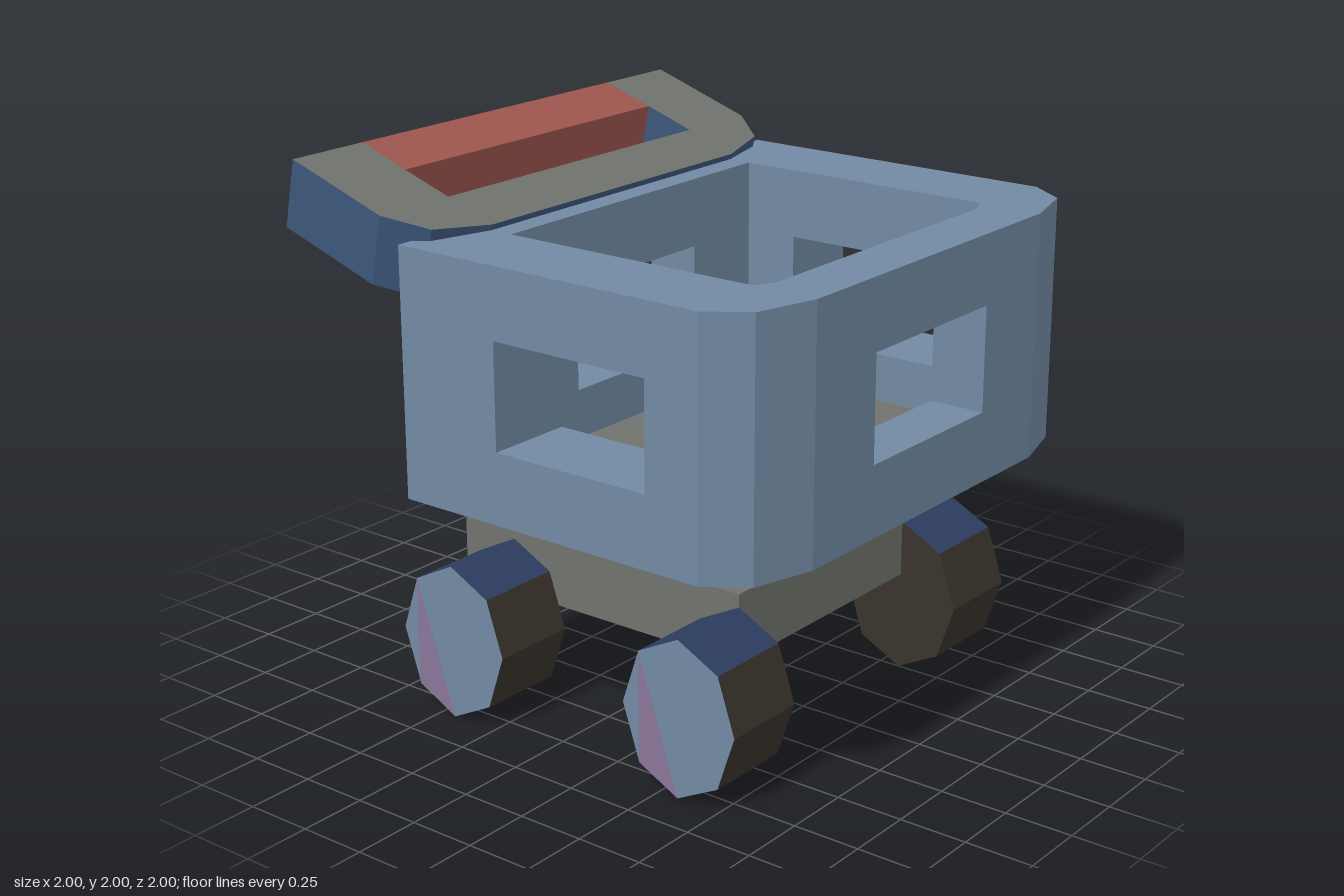
import * as THREE from 'three';

const paint = (color, side = THREE.FrontSide) =>
  new THREE.MeshStandardMaterial({ color, flatShading: true, side });

const BLUE = paint(0x718aa3);
const NAVY = paint(0x3c567a);
const GREY = paint(0x70726d);
const RED = paint(0x9e574e);
const TYRE = paint(0x3a332c);
const TYRE_TOP = paint(0x2c3d60);
const PINK = paint(0x8a7599);
const TRIM = paint(0x9a958c);

function mesh(name, geometry, material) {
  const m = new THREE.Mesh(geometry, material);
  m.name = name;
  return m;
}

// Vertical prism from a plan outline of [x, z] points
function prism(points, y0, y1, hole) {
  const toPlan = (list) => list.map(([x, z]) => new THREE.Vector2(x, -z));
  const shape = new THREE.Shape(toPlan(points));
  if (hole) shape.holes.push(new THREE.Path(toPlan(hole)));
  const g = new THREE.ExtrudeGeometry(shape, { depth: y1 - y0, bevelEnabled: false });
  return g.rotateX(-Math.PI / 2).translate(0, y0, 0);
}

// Completes a half outline (z > 0) with its mirror image
const flipZ = (points) => points.map(([x, z]) => [x, -z]);
const mirrored = (half) => [...half, ...flipZ(half).reverse()];

function createBasket() {
  const basket = new THREE.Group();
  basket.name = 'basket';
  const outer = mirrored([[-0.465, 1], [0.79, 1], [0.935, 0.9], [1, 0.67]]);
  const inner = mirrored([[-0.26, 0.67], [0.75, 0.67], [0.79, 0.6]]);

  basket.add(mesh('basketFloor', prism(outer, 0.88, 0.96), [GREY, BLUE]));
  basket.add(mesh('lowerWall', prism(outer, 0.96, 1.14, inner), BLUE));
  basket.add(mesh('upperWall', prism(outer, 1.525, 1.78, inner), BLUE));

  // Corner pillars leave a window in the middle of each side
  const rear = [[-0.465, 1], [-0.05, 1], [-0.05, 0.67], [-0.26, 0.67], [-0.26, 0.335], [-0.465, 0.335]];
  const front = [[0.58, 1], [0.79, 1], [0.935, 0.9], [1, 0.67], [1, 0.335],
    [0.79, 0.335], [0.79, 0.6], [0.75, 0.67], [0.58, 0.67]];
  for (const pillar of [rear, front]) {
    for (const outline of [pillar, flipZ(pillar)]) {
      basket.add(mesh('cornerPillar', prism(outline, 1.14, 1.525), BLUE));
    }
  }
  return basket;
}

function createHandle() {
  const handle = new THREE.Group();
  handle.name = 'handle';
  const frame = [
    ...mirrored([[-0.95, 1], [-0.545, 1], [-0.405, 0.9], [-0.345, 0.67]]),
    [-0.95, -0.67], [-0.545, -0.67], [-0.545, 0.67], [-0.95, 0.67],
  ];
  const grip = mirrored([[-0.95, 0.67], [-0.745, 0.67]]);

  // Tilts the flat plan up towards the rear
  const tilt = new THREE.Matrix4().set(
    1, 0.2, 0, 0,
    -0.33, 1, 0, 2 - 0.33 * 0.95,
    0, 0, 1, 0,
    0, 0, 0, 1,
  );
  handle.add(mesh('handleFrame', prism(frame, -0.245, 0).applyMatrix4(tilt), [GREY, NAVY]));
  handle.add(mesh('handleGrip', prism(grip, -0.245, 0).applyMatrix4(tilt), RED));
  return handle;
}

function createChassis() {
  const chassis = new THREE.Group();
  chassis.name = 'chassis';
  const base = new THREE.BoxGeometry(1.25, 0.255, 1).translate(-0.045, 0.5025, 0);
  chassis.add(mesh('base', base, GREY));

  // Sloped upright joining base and basket
  const side = new THREE.Shape([[-0.67, 0.63], [-0.465, 0.63], [-0.465, 1.14], [-0.565, 1.14]]
    .map(([x, y]) => new THREE.Vector2(x, y)));
  const upright = new THREE.ExtrudeGeometry(side, { depth: 1, bevelEnabled: false });
  chassis.add(mesh('rearUpright', upright.translate(0, 0, -0.5), BLUE));
  const cap = new THREE.BoxGeometry(0.1, 0.004, 1).translate(-0.515, 1.141, 0);
  chassis.add(mesh('uprightCap', cap, TRIM));
  return chassis;
}

// Eight-sided wheel, outer face towards +z
function createWheel() {
  const wheel = new THREE.Group();
  wheel.name = 'wheel';
  const rx = 0.235, ry = 0.29, width = 0.335, q = Math.PI / 4;
  const tread = (segments, start) =>
    new THREE.CylinderGeometry(1, 1, width, segments, 1, true, start * q, segments * q)
      .rotateX(Math.PI / 2).scale(rx, ry, 1);
  wheel.add(mesh('treadTop', tread(2, 3), TYRE_TOP));
  wheel.add(mesh('tread', tread(6, 5), TYRE));
  const face = () => new THREE.CircleGeometry(1, 8).scale(rx, ry, 1);
  wheel.add(mesh('outerFace', face().translate(0, 0, width / 2), BLUE));
  wheel.add(mesh('innerFace', face().rotateY(Math.PI).translate(0, 0, -width / 2), TYRE));
  return wheel;
}

export function createModel() {
  const model = new THREE.Group();
  model.name = 'cart';
  model.add(createBasket(), createHandle(), createChassis());

  for (const x of [-0.435, 0.58]) {
    for (const s of [1, -1]) {
      const wheel = createWheel();
      wheel.position.set(x, 0.292, s * 0.6675);
      if (s < 0) wheel.rotation.y = Math.PI;
      // Pink wedge on the wheels of the front side
      if (s > 0) {
        const wedge = new THREE.Shape([[-0.166, 0.205], [-0.166, -0.205], [0, -0.29]]
          .map(([px, py]) => new THREE.Vector2(px, py)));
        wheel.add(mesh('wheelWedge', new THREE.ShapeGeometry(wedge).translate(0, 0, 0.1695), PINK));
      }
      model.add(wheel);
    }
  }
  return model;
}
